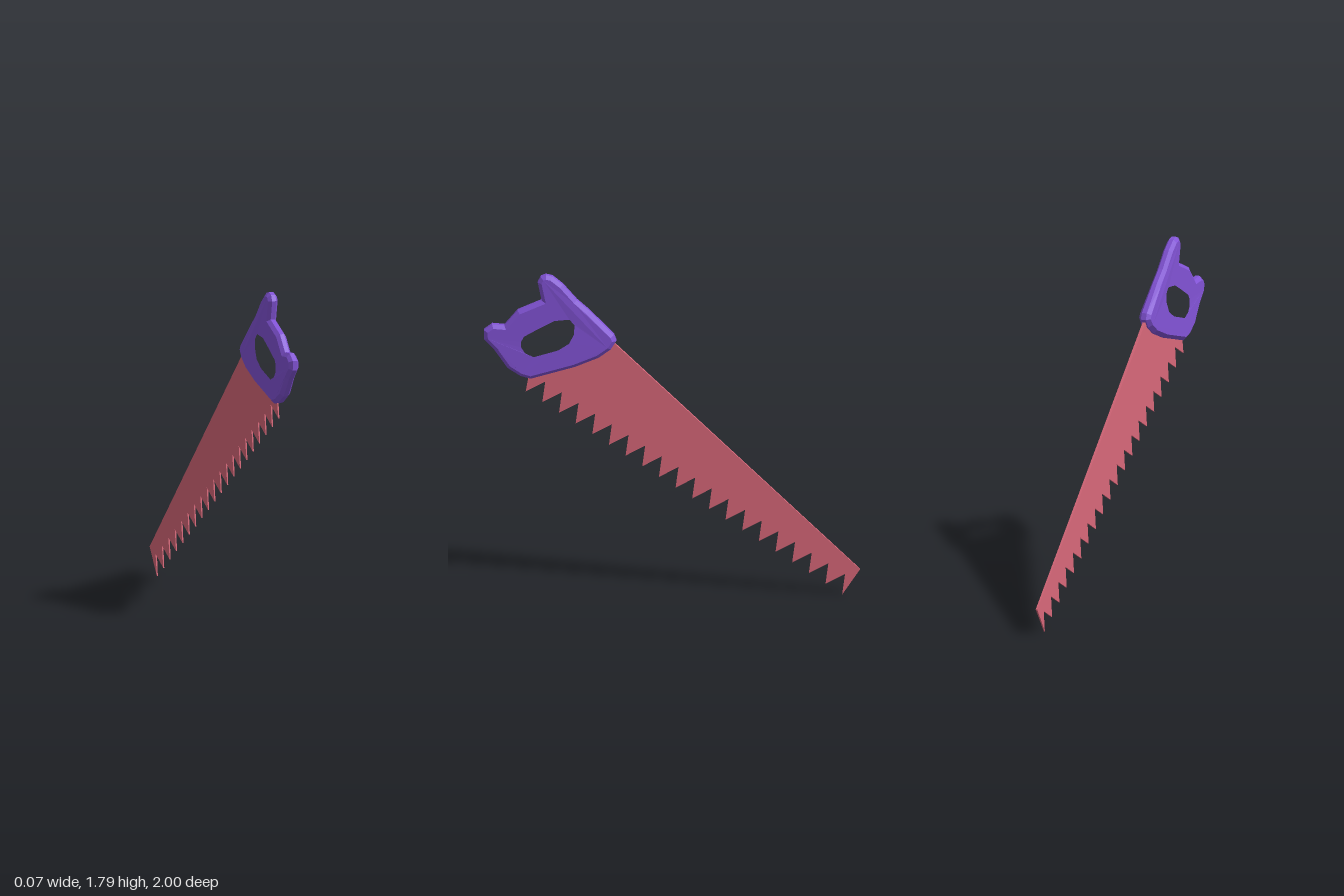
import * as THREE from 'three';

const toPath = (points) => points.map(([u, v]) => new THREE.Vector2(u, v));

// Extrudes a side profile (u = -z, v = y), scales its thickness by a rule, and turns it to face sideways
function sidePart(name, shape, options, thicknessAt, color) {
  const geometry = new THREE.ExtrudeGeometry(shape, { steps: 1, ...options });
  geometry.translate(0, 0, -options.depth / 2);
  const p = geometry.attributes.position;
  for (let i = 0; i < p.count; i++) p.setZ(i, p.getZ(i) * thicknessAt(p.getX(i), p.getY(i)));
  geometry.rotateY(Math.PI / 2);
  geometry.computeVertexNormals();
  const mesh = new THREE.Mesh(geometry, new THREE.MeshStandardMaterial({ color, flatShading: true }));
  mesh.name = name;
  return mesh;
}

// Blade: straight spine, raked teeth, thinning towards the cutting edge
function createBlade() {
  const teeth = 20;
  const outline = [[-0.36, 1.464], [-0.46, 1.36], [-0.73, 1.26], [-0.761, 1.22]];
  for (let i = 0; i < teeth; i++) {
    const u = -0.777 + i * 0.0885;
    const v = 1.13 * (1 - i / (teeth - 1));
    outline.push([u, v]);
    if (i < teeth - 1) outline.push([u + 0.104, v + 0.058]);
  }
  outline.push([1, 0.145]);
  const halfThickness = (u, v) => 0.003 + 0.01 * Math.max(0, (u - 0.905) * 0.555 + v * 0.832);
  return sidePart('blade', new THREE.Shape(toPath(outline)),
    { depth: 2, bevelEnabled: false }, halfThickness, 0xd9687a);
}

// Handle: horned grip with a finger hole and chamfered edges, thickest where it holds the blade
function createHandle() {
  const shape = new THREE.Shape(toPath([
    [-0.67, 1.795], [-0.635, 1.787], [-0.58, 1.742], [-0.505, 1.655], [-0.44, 1.597],
    [-0.308, 1.46], [-0.295, 1.426], [-0.325, 1.378], [-0.39, 1.33], [-0.515, 1.277],
    [-0.75, 1.207], [-0.805, 1.222], [-0.873, 1.266], [-0.943, 1.367], [-0.997, 1.426],
    [-0.999, 1.478], [-0.955, 1.512], [-0.89, 1.507], [-0.82, 1.592], [-0.692, 1.65],
    [-0.713, 1.752], [-0.697, 1.784],
  ]));
  shape.holes.push(new THREE.Path(toPath([
    [-0.63, 1.56], [-0.536, 1.57], [-0.498, 1.528], [-0.498, 1.464], [-0.53, 1.4],
    [-0.595, 1.357], [-0.735, 1.314], [-0.793, 1.34], [-0.82, 1.383], [-0.82, 1.426],
    [-0.8, 1.464], [-0.718, 1.512],
  ])));
  const bevel = 0.02;
  const thickness = (u, v) => {
    const fromBlade = (-u - 0.295) * 0.434 + (v - 1.426) * 0.901;
    return 1 - 0.2 * THREE.MathUtils.clamp(fromBlade / 0.2, 0, 1);
  };
  return sidePart('handle', shape, {
    depth: 0.03, bevelEnabled: true, bevelSegments: 1,
    bevelThickness: bevel, bevelSize: bevel, bevelOffset: -bevel,
  }, thickness, 0x8253d6);
}

export function createModel() {
  const saw = new THREE.Group();
  saw.name = 'handSaw';
  saw.add(createBlade(), createHandle());
  return saw;
}
